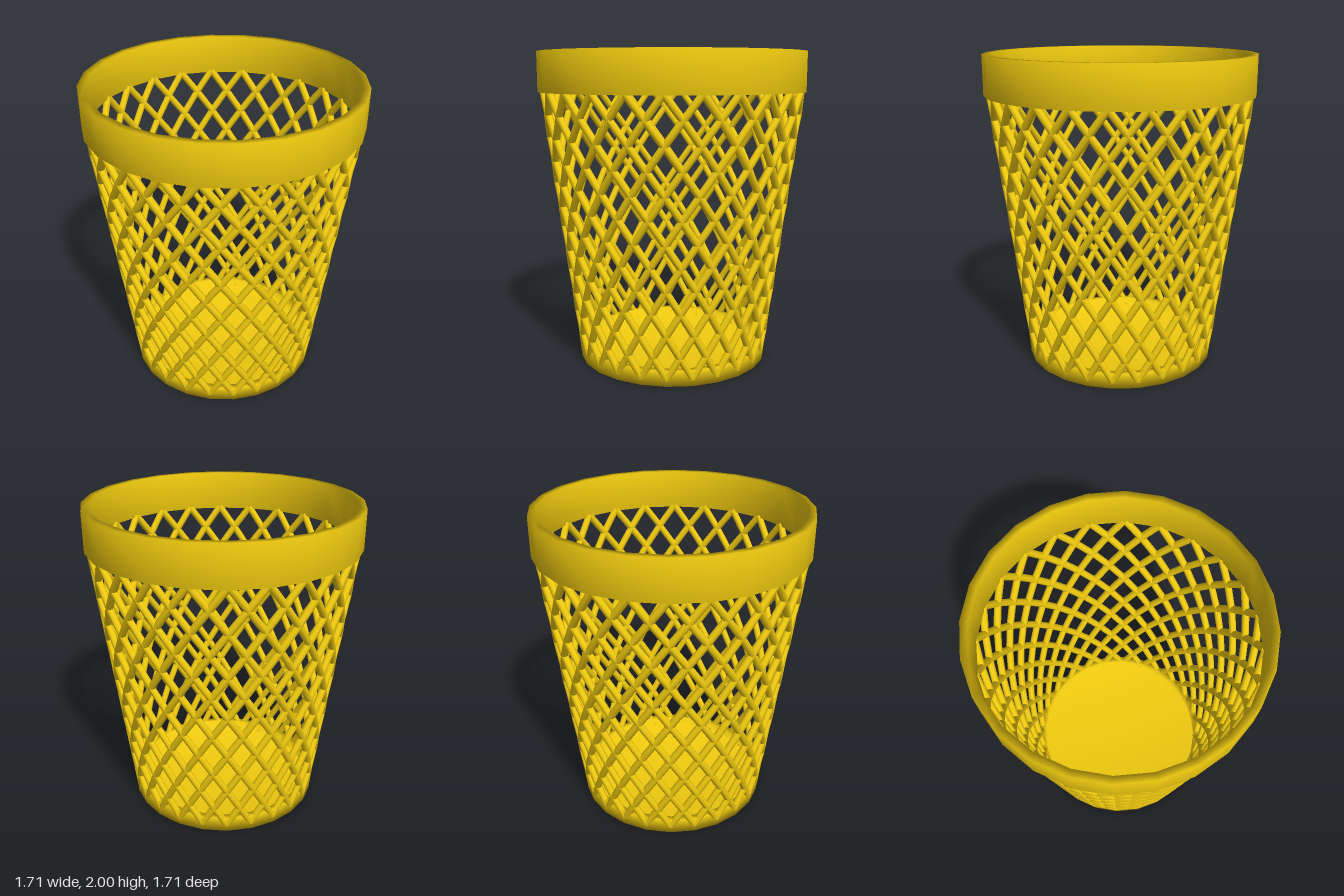
import * as THREE from 'three';
import { mergeGeometries, mergeVertices } from 'three/addons/utils/BufferGeometryUtils.js';

const SIDES = 24;          // facets around the basket, and strands per direction
const ROWS = 12;           // lattice rows from base to rim
const ROD = 0.023;         // strand radius
const BOTTOM = { y: 0.04, r: 0.6 };
const TOP = { y: 1.757, r: 0.822 };

// One strand: climbs the tapered wall while turning a quarter of the way round
class Strand extends THREE.Curve {
  constructor(start, direction) {
    super();
    this.start = start;
    this.direction = direction;
  }
  getPoint(t, target = new THREE.Vector3()) {
    const angle = this.start + this.direction * t * ROWS * Math.PI / SIDES;
    const r = THREE.MathUtils.lerp(BOTTOM.r, TOP.r, t);
    const y = THREE.MathUtils.lerp(BOTTOM.y, TOP.y, t);
    return target.set(r * Math.sin(angle), y, r * Math.cos(angle));
  }
  // Even steps in height keep every bend on a crossing
  getPointAt(u, target) { return this.getPoint(u, target); }
  getTangentAt(u, target) { return this.getTangent(u, target); }
}

// Turned part with normals shared across its corners
function turned(profile) {
  const geometry = new THREE.LatheGeometry(profile.map(([x, y]) => new THREE.Vector2(x, y)), SIDES);
  geometry.deleteAttribute('uv');
  geometry.deleteAttribute('normal');
  const welded = mergeVertices(geometry, 1e-4);
  welded.computeVertexNormals();
  return welded;
}

export function createModel() {
  const group = new THREE.Group();
  group.name = 'wasteBasket';
  const plastic = new THREE.MeshStandardMaterial({ color: 0xf2cc0f, side: THREE.DoubleSide });

  const add = (name, geometry) => {
    const mesh = new THREE.Mesh(geometry, plastic);
    mesh.name = name;
    group.add(mesh);
  };

  // Shallow dish at the bottom
  add('base', turned([[0, 0], [0.62, 0], [0.62, 0.1], [0.58, 0.1], [0.58, 0.03], [0, 0.03]]));

  // Upright band around the mouth
  add('rim', turned([[0.857, 1.75], [0.857, 2], [0.812, 2], [0.812, 1.75], [0.857, 1.75]]));

  // Two sets of strands winding in opposite directions
  for (const [name, direction] of [['leftWindingLattice', 1], ['rightWindingLattice', -1]]) {
    const strands = [];
    for (let i = 0; i < SIDES; i++) {
      const path = new Strand(i * 2 * Math.PI / SIDES, direction);
      strands.push(new THREE.TubeGeometry(path, ROWS, ROD, 8));
    }
    add(name, mergeGeometries(strands));
  }

  return group;
}
